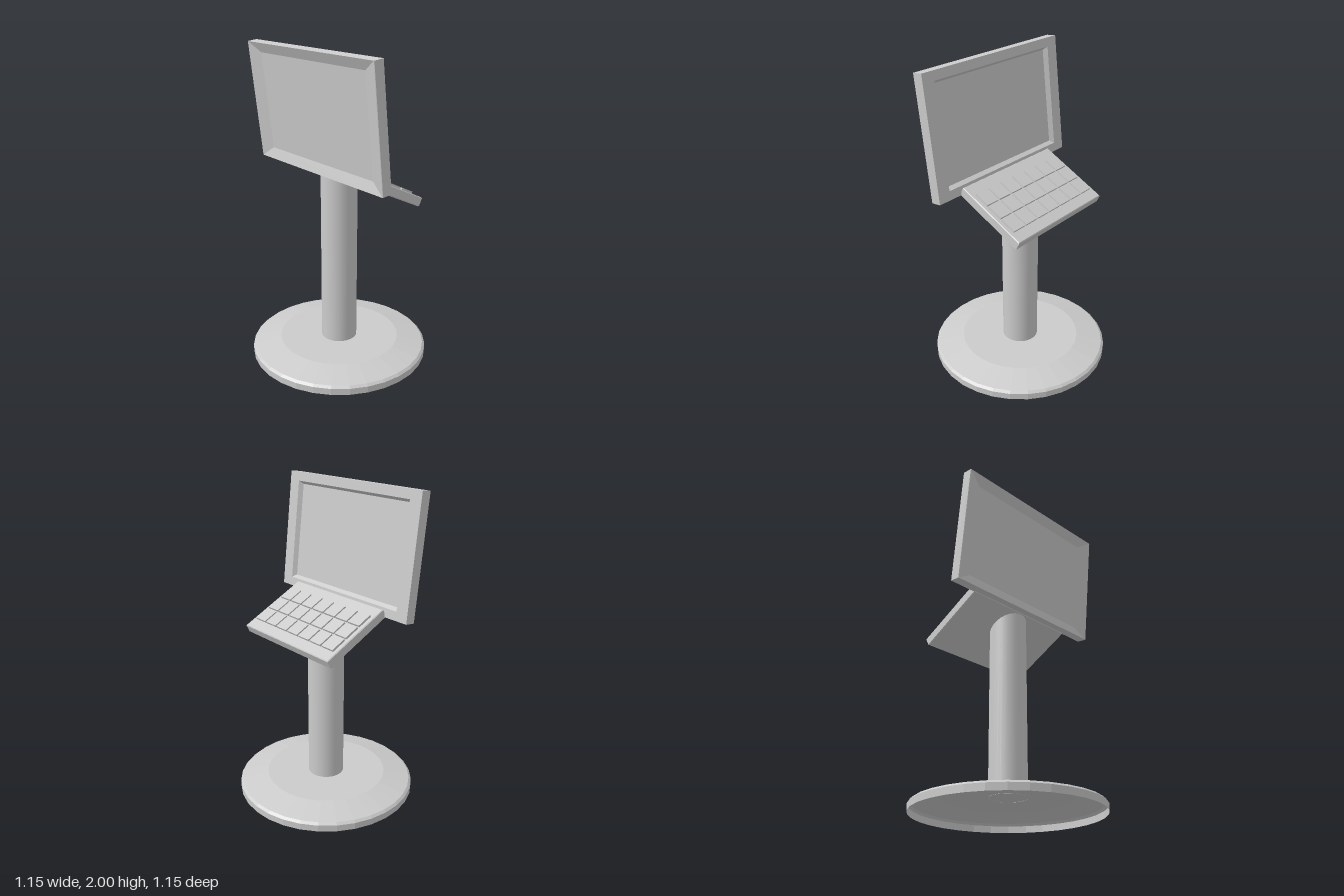
import * as THREE from 'three';

const mat = new THREE.MeshStandardMaterial({ color: 0xcccccc });
const flat = new THREE.MeshStandardMaterial({ color: 0xcccccc, flatShading: true, side: THREE.DoubleSide });
const thin = new THREE.MeshStandardMaterial({ color: 0xcccccc, side: THREE.DoubleSide });

// Joins rectangular rings [halfWidth, halfHeight, z] from front to back, capped at both ends
function rectLoft(rings) {
  const pos = [];
  const corner = ([w, h, z], i) => [[w, h, z], [-w, h, z], [-w, -h, z], [w, -h, z]][i % 4];
  const quad = (a, b, c, d) => pos.push(...a, ...b, ...c, ...a, ...c, ...d);
  const first = rings[0], last = rings[rings.length - 1];
  quad(corner(first, 0), corner(first, 1), corner(first, 2), corner(first, 3));
  for (let r = 0; r < rings.length - 1; r++) {
    for (let i = 0; i < 4; i++) {
      quad(corner(rings[r], i), corner(rings[r + 1], i), corner(rings[r + 1], i + 1), corner(rings[r], i + 1));
    }
  }
  quad(corner(last, 3), corner(last, 2), corner(last, 1), corner(last, 0));
  const geo = new THREE.BufferGeometry();
  geo.setAttribute('position', new THREE.Float32BufferAttribute(pos, 3));
  geo.computeVertexNormals();
  return geo;
}

function add(parent, name, geo, material = mat) {
  const mesh = new THREE.Mesh(geo, material);
  mesh.name = name;
  parent.add(mesh);
  return mesh;
}

export function createModel() {
  const model = new THREE.Group();
  model.name = 'terminalStand';

  // Round foot, a shell open underneath
  const profile = [[0.575, 0], [0.575, 0.042], [0.56, 0.056], [0.39, 0.095], [0, 0.095]];
  add(model, 'base', new THREE.LatheGeometry(profile.map(([x, y]) => new THREE.Vector2(x, y)), 32), flat);

  // Post, with its top cut to the slope of the keyboard
  const post = new THREE.CylinderGeometry(0.116, 0.116, 1, 32, 1, true);
  const p = post.attributes.position;
  for (let i = 0; i < p.count; i++) {
    p.setY(i, p.getY(i) > 0 ? 1.192 + 0.5 * p.getZ(i) : 0.094);
  }
  add(model, 'post', post, thin);

  // Screen: a tilted slab, dished on the front and recessed inside a frame on the back
  const screen = add(model, 'screen', rectLoft([
    [0.475, 0.309, 0.008],
    [0.572, 0.374, 0.033],
    [0.575, 0.374, 0.031],
    [0.575, 0.374, -0.033],
    [0.49, 0.318, -0.033],
    [0.47, 0.3, -0.008],
  ]));
  screen.position.set(0, 1.625, 0.183);
  screen.rotation.x = 0.111;

  // Keyboard, sloping down towards the back
  const keyboard = new THREE.Group();
  keyboard.name = 'keyboard';
  keyboard.position.set(0, 1.2, -0.1165);
  keyboard.rotation.x = -Math.atan(0.5);
  model.add(keyboard);
  const tray = rectLoft([
    [0.395, 0.234, 0],
    [0.4, 0.239, -0.005],
    [0.4, 0.239, -0.055],
    [0.395, 0.234, -0.06],
  ]);
  add(keyboard, 'keyboardTray', tray.rotateX(-Math.PI / 2));

  // Three rows of seven square keys
  const keyGeo = new THREE.BoxGeometry(0.097, 0.016, 0.1);
  for (let row = 0; row < 3; row++) {
    for (let col = 0; col < 7; col++) {
      add(keyboard, 'key', keyGeo).position.set((col - 3) * 0.108, 0.005, -0.003 + (row - 1) * 0.112);
    }
  }
  return model;
}
